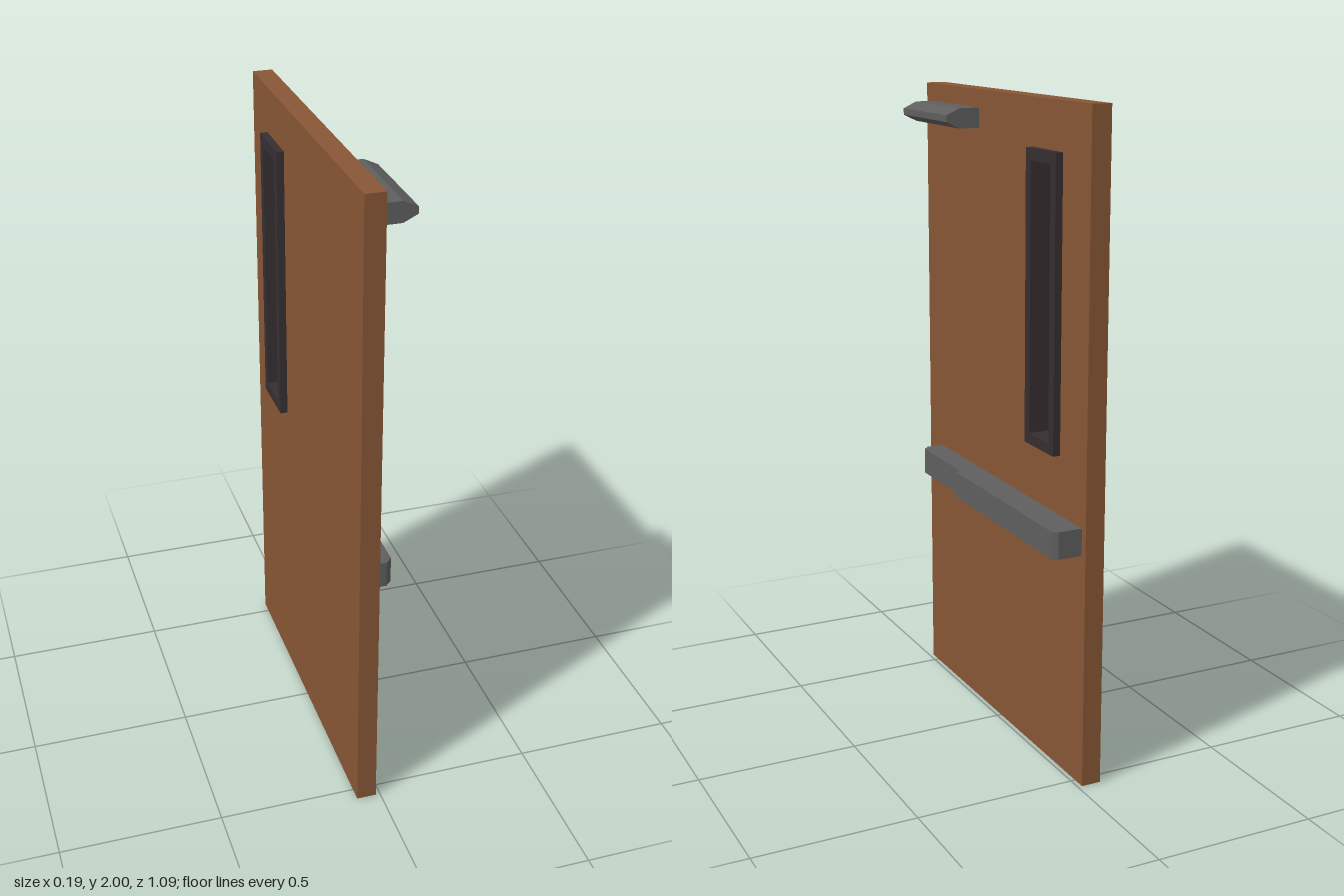
import * as THREE from 'three';

const wood = new THREE.MeshStandardMaterial({ name: 'brown wood', color: 0x885635 });
const metal = new THREE.MeshStandardMaterial({ name: 'grey metal', color: 0x5e5e5e });
const trim = new THREE.MeshStandardMaterial({ name: 'dark trim', color: 0x362e32 });
const glass = new THREE.MeshStandardMaterial({ name: 'pale glass', color: 0xfafafc });

// Window outlines as [z0, z1, y0, y1]
const FRAME = [-0.384, -0.203, 0.984, 1.858];
const OPENING = [-0.354, -0.233, 1.018, 1.823];
const CUTOUT = [-0.369, -0.218, 1.001, 1.841];
const BACK = -0.075, FRONT = -0.014;

const polygon = (pts) => new THREE.Shape(pts.map(([x, y]) => new THREE.Vector2(x, y)));
const rect = ([z0, z1, y0, y1]) => polygon([[-z1, y0], [-z0, y0], [-z0, y1], [-z1, y1]]);
const extrude = (shape, depth) => new THREE.ExtrudeGeometry(shape, { depth, bevelEnabled: false });

function createPart(group, name, geometry, material) {
  const mesh = new THREE.Mesh(geometry, material);
  mesh.name = name;
  group.add(mesh);
  return mesh;
}

// Upright slab with a rectangular hole, spanning x0 to x1
function ringSlab(outer, inner, x0, x1) {
  const shape = rect(outer);
  shape.holes.push(rect(inner));
  return extrude(shape, x1 - x0).rotateY(Math.PI / 2).translate(x0, 0, 0);
}

export function createModel() {
  const group = new THREE.Group();
  group.name = 'door';

  // Door leaf with window cutout
  createPart(group, 'doorLeaf', ringSlab([-0.543, 0.543, 0, 2], CUTOUT, BACK, FRONT), wood);

  // Window trim on both faces, and the liner through the door
  createPart(group, 'windowTrimFront', ringSlab(FRAME, OPENING, FRONT, 0.009), trim);
  createPart(group, 'windowTrimBack', ringSlab(FRAME, OPENING, -0.098, BACK), trim);
  createPart(group, 'windowLiner', ringSlab(CUTOUT, OPENING, BACK, FRONT), trim);

  // Window pane
  const [z0, z1, y0, y1] = OPENING;
  const pane = createPart(group, 'windowPane', new THREE.PlaneGeometry(z1 - z0, y1 - y0), glass);
  pane.rotation.y = Math.PI / 2;
  pane.position.set(BACK + 0.002, (y0 + y1) / 2, (z0 + z1) / 2);

  // Door closer housing: tapered profile run along z
  const closer = polygon([
    [FRONT, 1.884], [0.052, 1.884], [0.095, 1.905],
    [0.095, 1.925], [0.052, 1.945], [FRONT, 1.945],
  ]);
  createPart(group, 'doorCloser', extrude(closer, 0.329).translate(0, 0, 0.154), metal);

  // Push bar: stepped plan outline raised along y
  const bar = polygon([
    [FRONT, -0.448], [0.04, -0.448], [0.06, -0.428], [0.06, -0.154],
    [0.078, -0.14], [0.078, 0.508], [0.062, 0.52], [FRONT, 0.52],
  ]);
  createPart(group, 'pushBar', extrude(bar, 0.083).rotateX(-Math.PI / 2).translate(0, 0.72, 0), metal);

  return group;
}
